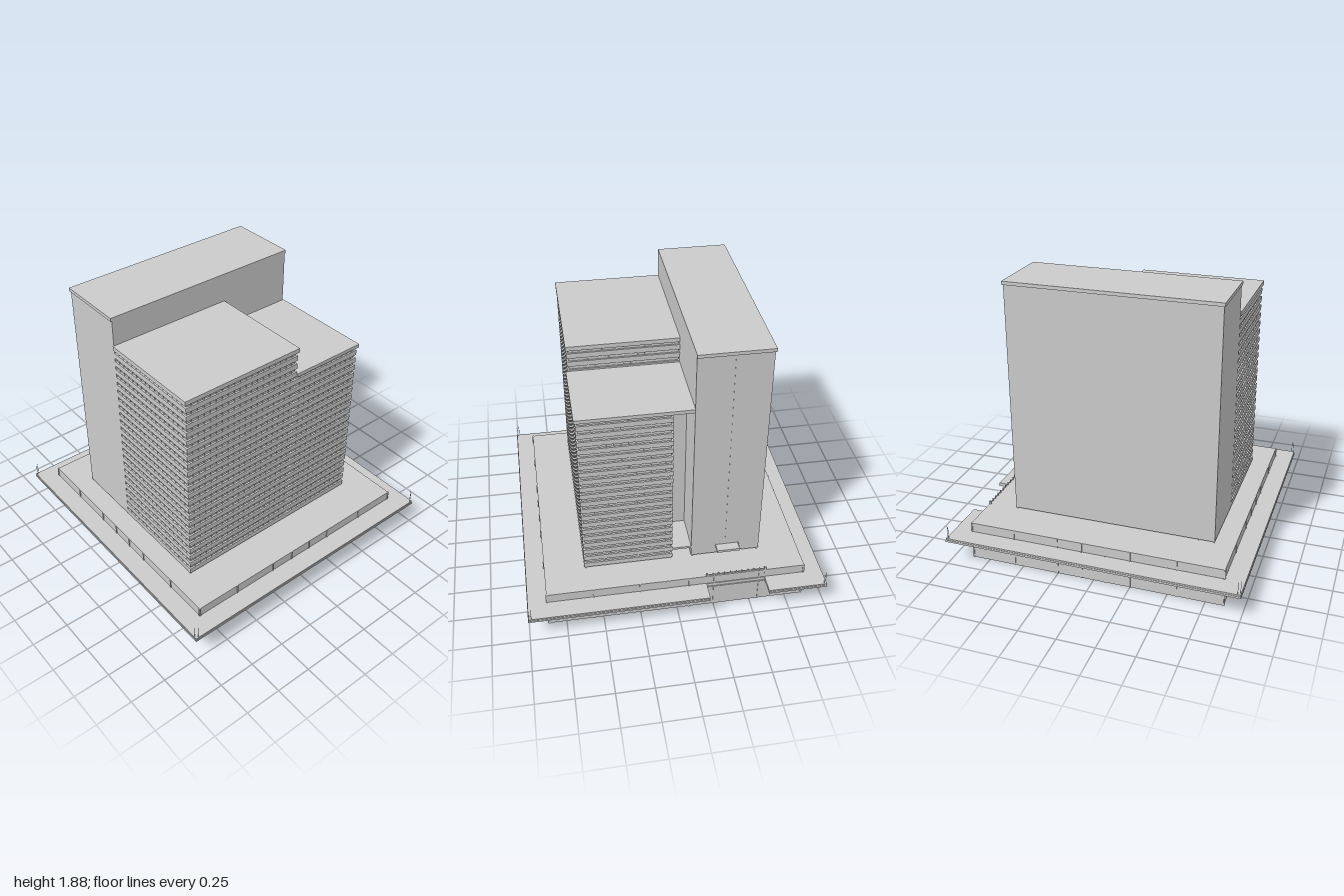
import * as THREE from 'three';

const mat = new THREE.MeshStandardMaterial({ color: 0xcccccc, flatShading: true });

// Box given by its min and max along each axis
function box(parent, name, x0, x1, y0, y1, z0, z1) {
  const mesh = new THREE.Mesh(new THREE.BoxGeometry(x1 - x0, y1 - y0, z1 - z0), mat);
  mesh.position.set((x0 + x1) / 2, (y0 + y1) / 2, (z0 + z1) / 2);
  mesh.name = name;
  parent.add(mesh);
  return mesh;
}

function group(parent, name) {
  const g = new THREE.Group();
  g.name = name;
  parent.add(g);
  return g;
}

// Terrace plate with the rectangular notch on its left (+x) edge
function plate(parent, name, half, y0, y1) {
  const pts = [[-half, -half], [half, -half], [half, 0.2], [0.87, 0.2],
    [0.87, 0.6], [half, 0.6], [half, half], [-half, half]];
  const shape = new THREE.Shape(pts.map(([x, y]) => new THREE.Vector2(x, y)));
  const geo = new THREE.ExtrudeGeometry(shape, { depth: y1 - y0, bevelEnabled: false });
  geo.rotateX(-Math.PI / 2);
  const mesh = new THREE.Mesh(geo, mat);
  mesh.position.y = y0;
  mesh.name = name;
  parent.add(mesh);
}

// Podium storey: wall block with slim posts on all four sides
function podiumStorey(parent, name, y0, y1) {
  const g = group(parent, name);
  const w = 0.87, e = 0.005, t = 0.004;
  box(g, 'wallBlock', -w, w, y0, y1, -w, w);
  for (const p of [-0.866, -0.56, -0.25, -0.08, 0.08, 0.25, 0.56, 0.866]) {
    box(g, 'wallPost', p - t, p + t, y0, y1, -w - e, w + e);
    box(g, 'wallPost', -w - e, w + e, y0, y1, p - t, p + t);
  }
}

const FLOOR = 0.06, BASE = 0.275;

// Office block: recessed glazing, fine mullions and one projecting band per floor
function officeBlock(parent, name, x0, x1, z0, z1, floors, firstBand = 0) {
  const g = group(parent, name);
  const top = BASE + floors * FLOOR;
  const start = BASE + firstBand * FLOOR;
  const d = 0.012, m = 0.006, t = 0.002;
  box(g, 'glazing', x0 + d, x1 - d, start, top, z0 + d, z1 - d);
  for (let i = firstBand; i < floors; i++) {
    const y = BASE + i * FLOOR;
    box(g, 'floorBand', x0, x1, y, y + 0.036, z0, z1);
  }
  const nx = Math.round((x1 - x0) / 0.045), nz = Math.round((z1 - z0) / 0.045);
  for (let i = 1; i < nx; i++) {
    const x = x0 + (x1 - x0) * i / nx;
    box(g, 'mullion', x - t, x + t, start, top, z0 + m, z1 - m);
  }
  for (let i = 1; i < nz; i++) {
    const z = z0 + (z1 - z0) * i / nz;
    box(g, 'mullion', x0 + m, x1 - m, start, top, z - t, z + t);
  }
}

export function createModel() {
  const model = new THREE.Group();
  model.name = 'towerOnPodium';

  // Podium: two storeys with the terrace plate between them
  const podium = group(model, 'podium');
  podiumStorey(podium, 'lowerStorey', 0, 0.163);
  plate(podium, 'terraceSlab', 1, 0.17, 0.184);
  plate(podium, 'terracePaving', 0.997, 0.184, 0.195);
  podiumStorey(podium, 'upperStorey', 0.2, 0.265);

  // Columns carrying the tower through the joints
  for (const x of [-0.73, -0.63, 0.66])
    for (const z of [-0.59, -0.14, 0.59])
      box(podium, 'column', x - 0.004, x + 0.004, 0.16, 0.28, z - 0.004, z + 0.004);

  // Pairs of thin poles at the terrace corners
  for (const sx of [-1, 1]) for (const sz of [-1, 1])
    for (const [a, b] of [[0.993, 0.978], [0.978, 0.993]]) {
      const pole = new THREE.Mesh(new THREE.CylinderGeometry(0.0015, 0.0015, 0.09, 6), mat);
      pole.position.set(sx * a, 0.235, sz * b);
      pole.name = 'cornerPole';
      podium.add(pole);
    }

  // Railing above the notch
  const railing = group(podium, 'railing');
  for (let i = 0; i <= 10; i++) {
    const z = -0.2 - i * 0.04;
    box(railing, 'railingPost', 0.862, 0.868, 0.265, 0.285, z - 0.003, z + 0.003);
  }
  box(railing, 'handrail', 0.863, 0.867, 0.272, 0.276, -0.6, -0.2);
  for (const z of [-0.6, -0.2])
    box(railing, 'endPost', 0.858, 0.872, 0.2, 0.285, z - 0.006, z + 0.006);

  // Tall plain slab at the back
  const back = group(model, 'backSlab');
  box(back, 'slabBody', -0.737, 0.665, BASE, 1.862, -0.6, -0.13);
  box(back, 'slabRoof', -0.745, 0.673, 1.862, 1.885, -0.608, -0.13);
  box(back, 'sideJoint', 0.66, 0.667, BASE, 1.862, -0.367, -0.363);

  // Entrance canopy with a raised rim
  const canopy = group(back, 'sideCanopy');
  box(canopy, 'canopyPlate', 0.665, 0.733, 0.335, 0.347, -0.455, -0.297);
  box(canopy, 'canopyRim', 0.727, 0.733, 0.347, 0.353, -0.455, -0.297);
  for (const z of [-0.455, -0.303])
    box(canopy, 'canopyRim', 0.665, 0.727, 0.347, 0.353, z, z + 0.006);

  // Higher front block, and the lower one standing clear of the back slab
  const front = group(model, 'frontBlocks');
  officeBlock(front, 'highBlock', -0.737, 0.13, -0.135, 0.6, 23);
  box(front, 'highRoof', -0.745, 0.137, 1.655, 1.685, -0.13, 0.605);
  officeBlock(front, 'lowBlock', 0.12, 0.665, 0, 0.6, 20);
  box(front, 'lowRoof', 0.13, 0.673, 1.475, 1.5, -0.13, 0.61);

  // Core wall and low bridge inside the recess
  box(front, 'recessWall', 0.12, 0.4, BASE, 1.475, -0.13, 0.005);
  box(front, 'recessBridge', 0.4, 0.66, 0.338, 0.354, -0.13, 0.005);
  return model;
}
